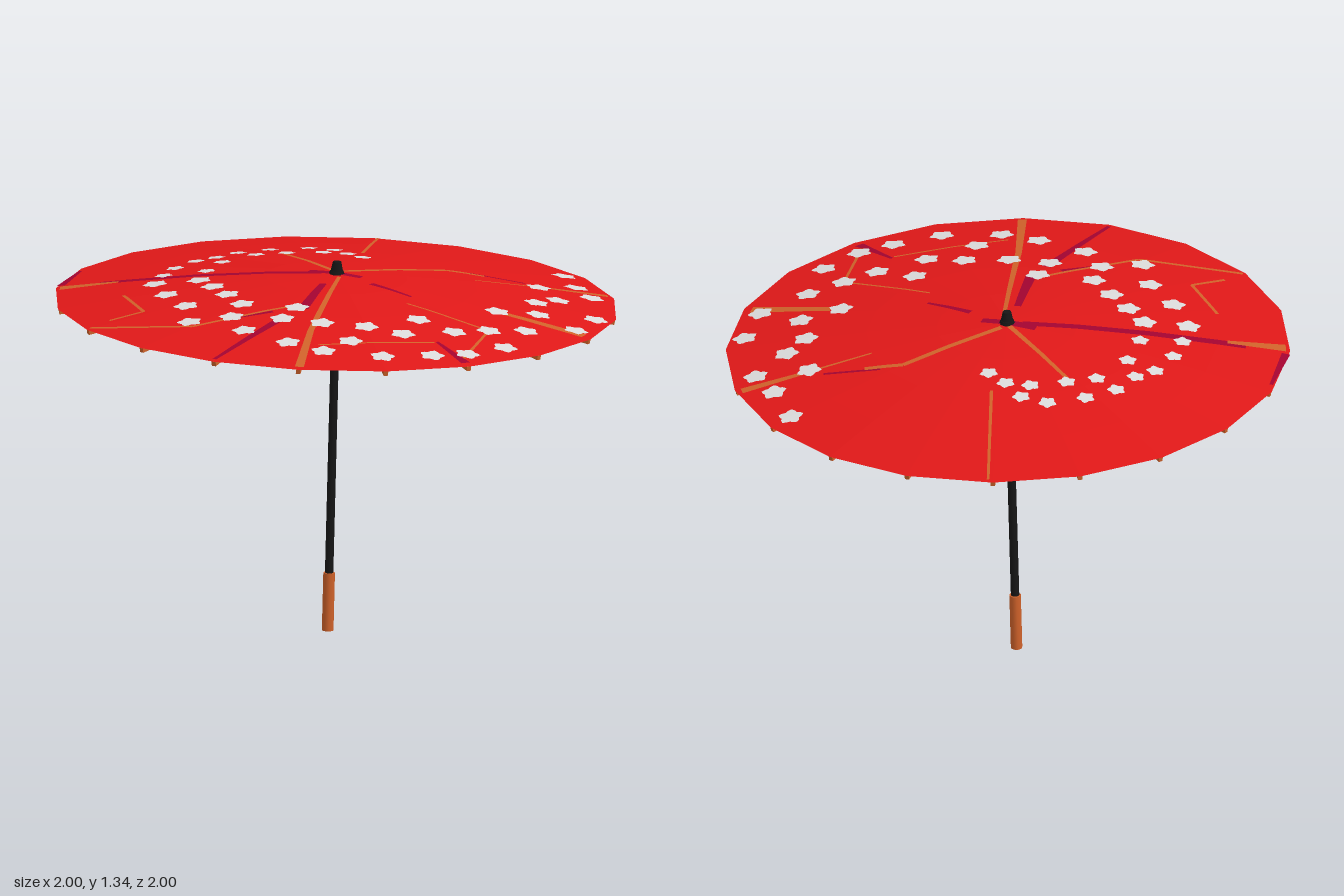
import * as THREE from 'three';

const SIDES = 20, STEP = Math.PI * 2 / SIDES;
const PROFILE = [[0, 1.3], [0.25, 1.285], [0.5, 1.26], [0.75, 1.226], [1, 1.188]];

const mat = (name, color, extra = {}) => {
  const m = new THREE.MeshStandardMaterial({ color, ...extra });
  m.name = name;
  return m;
};

// canopy height along a rib
function profileY(r) {
  const i = Math.min(3, Math.floor(r * 4));
  const [r0, y0] = PROFILE[i], [r1, y1] = PROFILE[i + 1];
  return y0 + (y1 - y0) * (r - r0) / (r1 - r0);
}

// canopy height at any point of the faceted surface
function canopyY(x, z) {
  let d = Math.atan2(z, x) % STEP;
  if (d < 0) d += STEP;
  return profileY(Math.hypot(x, z) * Math.cos(d - STEP / 2) / Math.cos(STEP / 2));
}

// flat triangles draped over the canopy
function drape(flat, lift) {
  const pos = [];
  for (const [x, z] of flat) pos.push(x, canopyY(x, z) + lift, z);
  const g = new THREE.BufferGeometry();
  g.setAttribute('position', new THREE.Float32BufferAttribute(pos, 3));
  g.computeVertexNormals();
  return g;
}

function flowerTriangles(cx, cz, size, turn) {
  const out = [], n = 20;
  const at = i => {
    const a = i / n * Math.PI * 2;
    const r = size * (0.88 + 0.15 * Math.cos(5 * a));
    return [cx + r * Math.cos(a + turn), cz + r * Math.sin(a + turn)];
  };
  for (let i = 0; i < n; i++) out.push([cx, cz], at(i + 1), at(i));
  return out;
}

// ribbon along a polyline, from its first width to its last
function streakTriangles([w0, w1, ...p]) {
  const out = [], last = p.length / 2 - 1;
  for (let k = 0; k < last; k++) {
    const [x0, z0, x1, z1] = p.slice(k * 2, k * 2 + 4);
    const dx = x1 - x0, dz = z1 - z0, len = Math.hypot(dx, dz), n = Math.ceil(len / 0.025);
    const at = (t, s) => {
      const h = s * (w0 + (w1 - w0) * (k + t) / last) / 2 / len;
      return [x0 + dx * t - dz * h, z0 + dz * t + dx * h];
    };
    for (let i = 0; i < n; i++) {
      const a = i / n, b = (i + 1) / n;
      out.push(at(a, -1), at(a, 1), at(b, 1), at(a, -1), at(b, 1), at(b, -1));
    }
  }
  return out;
}

// square bar between two points
function bar(a, b, w, h, material) {
  const mesh = new THREE.Mesh(new THREE.BoxGeometry(w, h, a.distanceTo(b)), material);
  mesh.position.copy(a).lerp(b, 0.5);
  mesh.lookAt(b);
  return mesh;
}

// flower centres as x, z pairs: two rows winding round the canopy
const OUTER = [0, -.55, -.14, -.55, -.26, -.52, -.35, -.45, -.43, -.42, -.52, -.33, -.58, -.23, -.63, -.12,
  -.62, .05, -.58, .22, -.6, .4, -.43, .55, -.3, .7, -.19, .8, .01, .87, .19, .86, .32, .84, .47, .76,
  .77, .51, .87, .35, .91, .05, .88, -.09, .87, -.28];
const INNER = [.15, -.31, .11, -.39, .08, -.49, .03, -.43, -.1, -.44, -.21, -.44, -.35, -.34, -.43, -.21,
  -.48, -.08, -.45, .03, -.42, .15, -.39, .28, -.45, .4, -.28, .47, -.21, .37, -.15, .54, -.08, .72, 0, .59,
  .12, .66, .2, .52, .31, .63, .44, .6, .58, .57, .66, .37, .51, .38, .68, .22, .77, .15, .73, -.01];

// worn streaks: start width, end width, then x, z pairs
const WOOD_STREAKS = [
  [.014, .032, 0, .05, -.2, .6, -.3, .93], [.022, .02, .03, -.03, .42, -.14, .55, -.1], [.02, .034, .76, -.02, .98, -.02],
  [.008, .012, .5, -.01, .76, -.02], [.05, .02, -.94, -.29, -.74, -.24], [.014, .02, -.12, -.46, 0, -.03],
  [.012, .01, .17, -.42, .32, -.93], [.012, .014, -.76, -.03, -.73, .21, -.86, .25],
  [.016, .014, -.94, .3, -.6, .45, -.22, .35], [.03, .045, .54, .4, .79, .56],
  [.008, .012, .19, .35, .44, .6, .3, .88], [.008, .01, -.2, .74, .22, .74]];
const CRIMSON_STREAKS = [
  [.035, .03, -.8, -.27, -.05, -.02], [.025, .04, -.07, .12, -.19, .38], [.035, .015, -.26, .44, -.58, .79],
  [.025, .012, .1, .13, .22, .27], [.012, .035, .23, .73, .3, .92], [.03, .012, -.93, -.33, -.82, -.54],
  [.02, .01, -.3, .39, -.42, .41], [.012, .012, .5, -.13, .69, -.06], [.04, .03, -.09, -.06, .08, .05]];

export function createModel() {
  const red = mat('canopy red', 0xe01818, { side: THREE.DoubleSide, flatShading: true });
  const white = mat('flower white', 0xdcdcdc, { side: THREE.DoubleSide });
  const crimson = mat('crimson', 0xa30430, { side: THREE.DoubleSide });
  const wood = mat('wood', 0xd0622a, { side: THREE.DoubleSide });
  const black = mat('black lacquer', 0x161616);

  const model = new THREE.Group();
  model.name = 'parasol';
  const tilted = new THREE.Group();
  tilted.name = 'tiltedParasol';
  model.add(tilted);
  const add = (name, geometry, material) => {
    const m = new THREE.Mesh(geometry, material);
    m.name = name;
    tilted.add(m);
  };
  const turned = (name, y0, y1, r0, r1, material, sides = 10) =>
    add(name, new THREE.CylinderGeometry(r1, r0, y1 - y0, sides).translate(0, (y0 + y1) / 2, 0), material);

  // canopy
  const points = PROFILE.map(([r, y]) => new THREE.Vector2(r, y));
  add('canopy', new THREE.LatheGeometry(points, SIDES), red);

  // flowers, larger toward the front; the middle ones show through underneath
  const top = [], underside = [];
  for (const list of [OUTER, INNER]) for (let i = 0; i < list.length; i += 2) {
    const x = list[i], z = list[i + 1];
    const flower = flowerTriangles(x, z, x < 0.3 && z < -0.15 ? 0.033 : 0.045, i * 1.3);
    top.push(...flower);
    if (x > -0.5 && x < 0.6) underside.push(...flower);
  }
  add('flowersTop', drape(top, 0.004), white);
  add('flowersUnderside', drape(underside, -0.003), white);

  // worn streaks on the top
  add('woodStreaks', drape(WOOD_STREAKS.flatMap(streakTriangles), 0.0025), wood);
  add('crimsonStreaks', drape(CRIMSON_STREAKS.flatMap(streakTriangles), 0.0018), crimson);

  // ribs under the canopy and stretchers from the runner
  for (let i = 0; i < SIDES; i++) {
    const a = i * STEP, c = Math.cos(a), s = Math.sin(a);
    const at = (r, y) => new THREE.Vector3(r * c, y, r * s);
    const rib = new THREE.Group();
    rib.name = 'rib';
    const stops = [0.02, 0.25, 0.5, 0.75, 0.995];
    for (let k = 0; k < 4; k++) {
      rib.add(bar(at(stops[k], profileY(stops[k]) - 0.01), at(stops[k + 1], profileY(stops[k + 1]) - 0.01),
        0.016, 0.016, wood));
    }
    const stretcher = bar(at(0.02, 1.165), at(0.25, 1.273), 0.008, 0.008, wood);
    stretcher.name = 'stretcher';
    tilted.add(rib, stretcher);
  }

  // pole, runner, top cap and handle
  turned('pole', 0.2, 1.3, 0.015, 0.015, black);
  turned('runnerCollar', 1.13, 1.155, 0.022, 0.022, black);
  turned('runner', 1.155, 1.18, 0.03, 0.03, black);
  turned('topHub', 1.24, 1.285, 0.03, 0.03, black);
  turned('capBase', 1.285, 1.31, 0.032, 0.024, black);
  turned('cap', 1.31, 1.343, 0.022, 0.015, black);
  turned('handle', 0, 0.21, 0.021, 0.021, wood, 8);

  // slight lean about the canopy's peak
  tilted.rotation.set(0.015, 0, -0.0225);
  tilted.position.set(-0.029, 0, -0.0195);
  return model;
}
